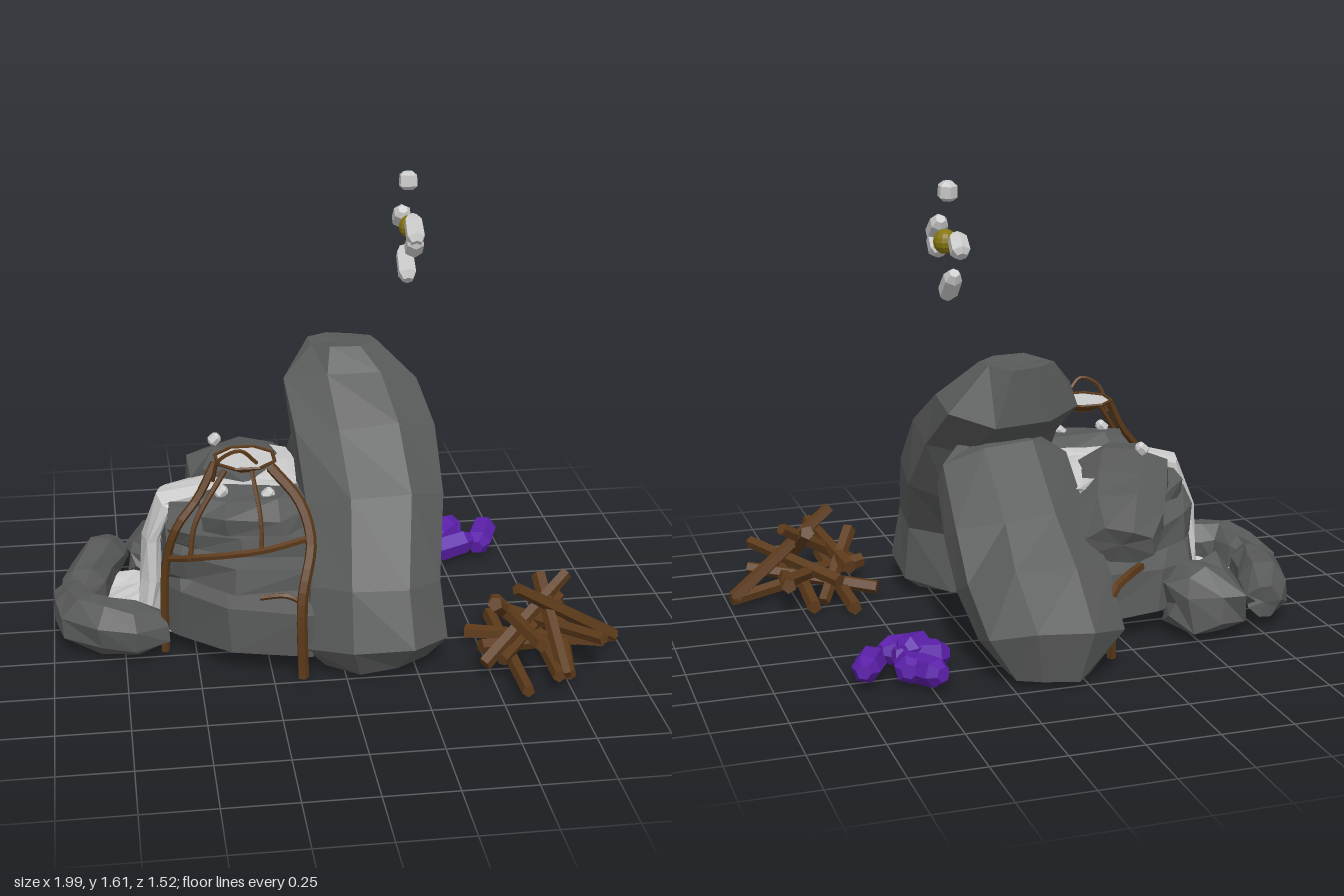
import * as THREE from 'three';

const V = (p) => new THREE.Vector3(...p);
const mat = (color, extra = {}) => new THREE.MeshStandardMaterial({ color, flatShading: true, ...extra });
const rockMat = mat(0x585a59);
const paleMat = mat(0xcccccc, { side: THREE.DoubleSide });
const woodMat = mat(0x5c3a1a, { side: THREE.DoubleSide });
const crystalMat = mat(0x5a1fa8);
const orbMat = mat(0x857512);

let seed = 7;
const rnd = () => {
  seed = (seed * 16807) % 2147483647;
  return seed / 2147483647 - 0.5;
};

function mesh(name, geometry, material, position = [0, 0, 0]) {
  const m = new THREE.Mesh(geometry, material);
  m.name = name;
  m.position.set(...position);
  return m;
}

// Eight-sided loft. Each section runs from edge a to edge b, with half width w along the side vector.
function loft(name, sections, { side = [1, 0, 0], jitter = 0.022, material = rockMat } = {}) {
  const n = 8, pos = [], idx = [], s = V(side).normalize();
  const centres = sections.map(([a, b]) => V(a).add(V(b)).multiplyScalar(0.5));
  const put = (p) => pos.push(p.x, Math.max(0.015, p.y), p.z);
  sections.forEach(([a, b, w], i) => {
    const h = V(a).sub(V(b)).multiplyScalar(0.5);
    for (let k = 0; k < n; k++) {
      const t = ((k + 0.5) / n) * Math.PI * 2;
      const p = centres[i].clone().addScaledVector(h, Math.cos(t) * 1.07).addScaledVector(s, Math.sin(t) * w * 1.07);
      put(p.add(new THREE.Vector3(rnd(), rnd(), rnd()).multiplyScalar(jitter)));
    }
  });
  for (let i = 0; i < sections.length - 1; i++) {
    for (let k = 0; k < n; k++) {
      const a = i * n + k, b = i * n + ((k + 1) % n);
      idx.push(a, b, a + n, b, b + n, a + n);
    }
  }
  const last = (sections.length - 1) * n, c0 = pos.length / 3;
  put(centres[0]);
  put(centres[centres.length - 1]);
  for (let k = 0; k < n; k++) {
    const j = (k + 1) % n;
    idx.push(c0, j, k, c0 + 1, last + k, last + j);
  }
  // Turn the faces outward if the sections were listed the other way round
  let volume = 0;
  const at = (i) => new THREE.Vector3().fromArray(pos, i * 3);
  for (let i = 0; i < idx.length; i += 3) volume += at(idx[i]).dot(at(idx[i + 1]).cross(at(idx[i + 2])));
  if (volume < 0) idx.reverse();
  const g = new THREE.BufferGeometry();
  g.setAttribute('position', new THREE.Float32BufferAttribute(pos, 3));
  g.setIndex(idx);
  g.computeVertexNormals();
  return mesh(name, g, material);
}

// Leaning slab drawn in the z-y plane: [z, y, z, y, left x, right x]
const slab = (name, rows) =>
  loft(name, rows.map(([z1, y1, z2, y2, x1, x2]) => {
    const x = (x1 + x2) / 2;
    return [[x, y1, z1], [x, y2, z2], (x2 - x1) / 2];
  }));

// Flat-lying layer of the outcrop between two heights: [x, front z, back z]
const layer = (name, y0, y1, rows) =>
  loft(name, rows.map(([x, f, b]) => [[x, y1, (f + b) / 2], [x, y0, (f + b) / 2], (f - b) / 2]),
    { side: [0, 0, 1], jitter: 0.03 });

// Loft swept along a path, with half thickness h, half width w and tapered ends
function sweep(name, points, h, w, side, taper, options) {
  const curve = new THREE.CatmullRomCurve3(points.map(V)), steps = points.length;
  const sections = [];
  for (let i = 0; i <= steps; i++) {
    const t = i / steps, k = i === 0 || i === steps ? taper : 1, c = curve.getPointAt(t);
    const d = curve.getTangentAt(t).cross(V(side)).normalize().multiplyScalar(h * k);
    sections.push([c.clone().add(d).toArray(), c.clone().sub(d).toArray(), w * k]);
  }
  return loft(name, sections, { ...options, side });
}

// Places a y-aligned unit-length geometry at a centre, along a direction
function place(name, geometry, centre, dir, length, material) {
  const m = mesh(name, geometry, material, centre);
  m.scale.y = length;
  m.quaternion.setFromUnitVectors(new THREE.Vector3(0, 1, 0), V(dir).normalize());
  return m;
}

function gem(name, centre, dir, length, r, material) {
  const profile = [[0, -0.5], [0.55, -0.5], [1, -0.3], [0.95, 0.3], [0.5, 0.5], [0, 0.5]];
  const g = new THREE.LatheGeometry(profile.map(([x, y]) => new THREE.Vector2(x * r, y)), 6);
  return place(name, g, centre, dir, length, material);
}

function vine(r, ...points) {
  const curve = new THREE.CatmullRomCurve3(points.map(V));
  return mesh('vine', new THREE.TubeGeometry(curve, points.length * 4, r, 5), woodMat);
}

export function createModel() {
  seed = 7;
  const model = new THREE.Group();
  model.name = 'rockShrine';
  const group = (name, ...parts) => {
    const g = new THREE.Group();
    g.name = name;
    g.add(...parts);
    model.add(g);
  };

  // Two great slabs leaning on each other
  group('leaningSlabs',
    slab('frontSlab', [
      [0.5, 0.02, 0.2, 0.02, -0.07, 0.3], [0.57, 0.13, 0.15, 0.05, -0.13, 0.36], [0.49, 0.33, 0.16, 0.26, -0.12, 0.345],
      [0.3, 0.6, 0.01, 0.44, -0.11, 0.39], [0.1, 0.78, -0.12, 0.64, -0.12, 0.375],
      [-0.05, 0.91, -0.34, 0.79, -0.135, 0.335], [-0.15, 0.985, -0.33, 0.985, -0.04, 0.2]]),
    slab('backSlab', [
      [-0.75, 0.02, -0.52, 0.02, -0.04, 0.24], [-0.765, 0.2, -0.47, 0.08, -0.14, 0.33], [-0.62, 0.37, -0.33, 0.2, -0.14, 0.36],
      [-0.48, 0.51, -0.2, 0.36, -0.12, 0.35], [-0.25, 0.7, -0.09, 0.48, -0.11, 0.34], [-0.15, 0.72, -0.08, 0.62, -0.05, 0.26]]));

  // Stacked layers of the central outcrop
  group('outcrop',
    layer('lowerLayer', -0.04, 0.36, [[-0.61, 0.15, -0.18], [-0.56, 0.24, -0.3], [-0.4, 0.41, -0.39], [-0.11, 0.47, -0.44]]),
    layer('middleLayer', 0.25, 0.44, [[-0.6, 0.2, -0.16], [-0.53, 0.28, -0.27], [-0.38, 0.4, -0.36], [-0.11, 0.42, -0.42]]),
    layer('upperLayer', 0.38, 0.53, [[-0.58, 0.22, -0.12], [-0.5, 0.3, -0.22], [-0.35, 0.38, -0.3], [-0.11, 0.38, -0.36]]),
    layer('topBoulder', 0.44, 0.6, [[-0.47, 0.29, 0.12], [-0.39, 0.36, 0.08], [-0.2, 0.37, 0.08], [-0.12, 0.32, 0.12]]),
    sweep('slopingBoulder', [[-0.19, 0.4, -0.54], [-0.24, 0.46, -0.37], [-0.33, 0.53, -0.16], [-0.4, 0.54, 0.01]],
      0.095, 0.165, [0.9, 0, 0.43], 0.68));

  // Rocks around the pool
  group('poolRocks',
    sweep('longRimRock', [[-0.77, 0.1, -0.45], [-0.82, 0.11, -0.33], [-0.88, 0.11, -0.14], [-0.92, 0.1, 0.02]],
      0.085, 0.09, [0, 1, 0], 0.6),
    sweep('frontRimRock', [[-0.94, 0.11, -0.06], [-0.92, 0.11, 0.05], [-0.87, 0.11, 0.17], [-0.7, 0.1, 0.23], [-0.61, 0.09, 0.2]],
      0.08, 0.09, [0, 1, 0], 0.65),
    sweep('cornerBoulder', [[-0.7, 0.11, -0.38], [-0.62, 0.12, -0.39], [-0.54, 0.12, -0.39], [-0.43, 0.11, -0.37]],
      0.145, 0.13, [0, 1, 0], 0.5, { jitter: 0.05 }));

  // Pool with a faceted surface, upper stream and waterfall
  const poolGeo = new THREE.PlaneGeometry(0.34, 0.5, 7, 10).rotateX(-Math.PI / 2);
  const ripple = poolGeo.attributes.position;
  for (let i = 0; i < ripple.count; i++) ripple.setY(i, rnd() * 0.025);
  const wet = { jitter: 0.025, material: paleMat };
  group('water', mesh('pool', poolGeo, paleMat, [-0.7, 0.075, -0.06]),
    sweep('upperPool', [[-0.15, 0.53, -0.31], [-0.17, 0.54, -0.1], [-0.18, 0.53, 0.13]], 0.03, 0.1, [1, 0, 0], 0.85, wet),
    sweep('waterfall', [[-0.14, 0.535, 0.06], [-0.35, 0.54, 0.05], [-0.54, 0.53, 0.01],
      [-0.62, 0.46, 0], [-0.635, 0.25, 0], [-0.66, 0.06, 0]], 0.034, 0.08, [0, 0, 1], 1, wet));

  // Vines climbing the outcrop and holding the bowl
  group('vines',
    vine(0.016, [-0.61, 0.01, 0.22], [-0.6, 0.35, 0.24], [-0.56, 0.5, 0.26], [-0.48, 0.6, 0.23], [-0.42, 0.71, 0.2]),
    vine(0.02, [-0.15, 0.01, 0.48], [-0.15, 0.3, 0.47], [-0.11, 0.48, 0.39], [-0.14, 0.6, 0.32], [-0.23, 0.7, 0.24]),
    vine(0.012, [-0.59, 0.38, 0.25], [-0.5, 0.42, 0.34], [-0.28, 0.46, 0.4], [-0.11, 0.49, 0.38]),
    vine(0.008, [-0.28, 0.46, 0.4], [-0.28, 0.57, 0.37], [-0.3, 0.71, 0.29]),
    vine(0.01, [-0.52, 0.41, 0.33], [-0.5, 0.53, 0.31], [-0.39, 0.71, 0.27]),
    vine(0.007, [-0.43, 0.66, 0.24], [-0.41, 0.75, 0.28], [-0.34, 0.785, 0.29], [-0.28, 0.73, 0.27]),
    vine(0.008, [-0.11, 0.5, 0.37], [-0.12, 0.57, 0.28], [-0.23, 0.7, 0.17]),
    vine(0.01, [-0.14, 0.28, 0.46], [-0.2, 0.31, 0.45], [-0.29, 0.3, 0.43]),
    vine(0.016, [-0.15, 0.01, -0.56], [-0.14, 0.26, -0.6], [-0.2, 0.29, -0.56], [-0.3, 0.28, -0.44]));

  // Shallow eight-sided bowl
  const bowlParts = [
    mesh('bowlShell', new THREE.CylinderGeometry(0.112, 0.05, 0.035, 8, 1, true), woodMat, [0, -0.017, 0]),
    mesh('bowlBase', new THREE.CylinderGeometry(0.05, 0.05, 0.006, 8), woodMat, [0, -0.033, 0]),
    mesh('bowlRim', new THREE.TorusGeometry(0.108, 0.006, 5, 8).rotateX(Math.PI / 2), woodMat),
    mesh('bowlWater', new THREE.CylinderGeometry(0.1, 0.1, 0.004, 8), paleMat, [0, -0.003, 0])];
  for (const part of bowlParts) {
    part.position.add(V([-0.315, 0.723, 0.2]));
    part.rotation.y = Math.PI / 8;
  }
  group('bowl', ...bowlParts);

  // Pebbles on the outcrop
  group('pebbles', ...[[-0.39, 0.635, -0.21], [-0.4, 0.61, 0.22], [-0.24, 0.6, 0.24]].map(
    (p) => gem('pebble', p, [1, 1, 0], 0.045, 0.022, paleMat)));

  // Pile of cut branches: [x, y, z, run x, run y, run z]
  group('branchPile', ...[
    [0.58, 0.04, 0.44, 0, 0.02, 0.62], [0.71, 0.05, 0.43, -0.02, 0.03, 0.52], [0.785, 0.17, 0.425, -0.39, 0.27, 0.13],
    [0.635, 0.17, 0.45, 0.33, 0.23, -0.2], [0.72, 0.16, 0.49, 0.02, -0.22, 0.34], [0.78, 0.08, 0.41, -0.06, -0.08, 0.46],
    [0.68, 0.07, 0.4, 0.44, 0.05, 0.23], [0.73, 0.06, 0.42, 0.52, -0.06, -0.13], [0.6, 0.17, 0.48, 0.06, 0.05, 0.46],
    [0.6, 0.13, 0.34, 0.15, -0.2, -0.22], [0.67, 0.1, 0.39, -0.28, -0.06, 0.34], [0.74, 0.13, 0.43, 0.26, 0.06, 0.38],
  ].map(([x, y, z, ...run]) =>
    place('branch', new THREE.CylinderGeometry(0.023, 0.027, 1, 5), [x, y, z], run, V(run).length(), woodMat)));

  // Crystal cluster: [x, y, z, heading, length]
  group('crystals', ...[
    [0.68, 0.06, -0.49, 0.4, 0.2], [0.5, 0.07, -0.48, 1.5, 0.19], [0.54, 0.065, -0.4, 1.3, 0.18],
    [0.51, 0.06, -0.6, -0.4, 0.17], [0.56, 0.06, -0.55, 0.25, 0.13], [0.52, 0.09, -0.46, 0.8, 0.14],
  ].map(([x, y, z, a, l]) => gem('crystal', [x, y, z], [Math.sin(a), 0.12, -Math.cos(a)], l, 0.052, crystalMat)));

  // Floating stones circling an orb: [bearing, distance, tilt, length]
  const orb = mesh('orb', new THREE.SphereGeometry(0.042, 12, 8), orbMat, [0.325, 1.41, -0.21]);
  group('floatingRing', orb, ...[
    [1.57, 0.168, 1.7, 0.065], [-1.73, 0.145, 2.38, 0.14], [0.18, 0.137, 2.45, 0.12],
    [-0.21, 0.143, 0.79, 0.09], [3.1, 0.127, 0.82, 0.09],
  ].map(([a, d, t, l]) => gem('floatingStone', [0.315, 1.41 + d * Math.sin(a), -0.21 + d * Math.cos(a)],
    [0, Math.sin(t), Math.cos(t)], l, 0.035, paleMat)));

  return model;
}
